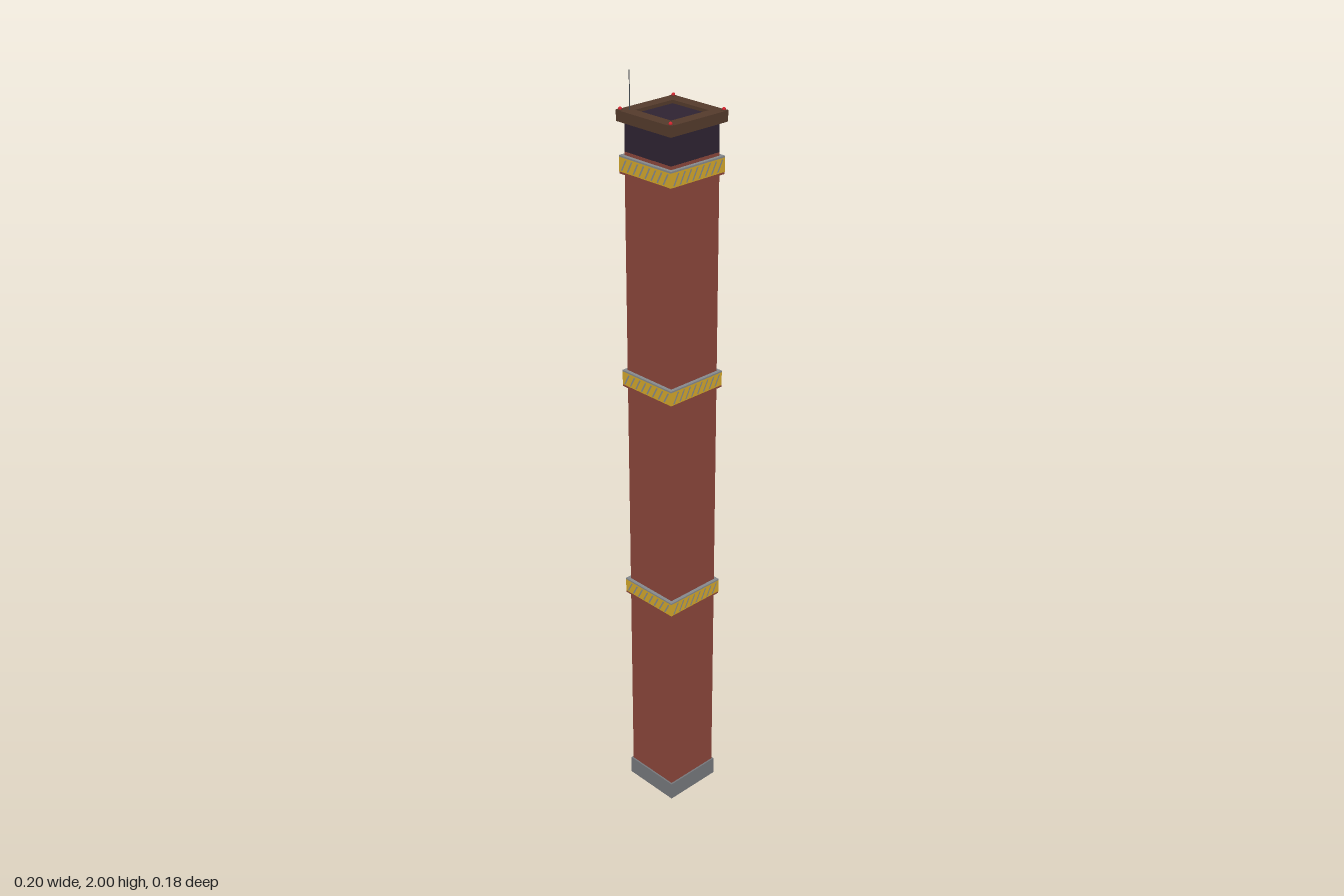
import * as THREE from 'three';

const mat = (name, color, double = false) => {
  const m = new THREE.MeshStandardMaterial({ color });
  m.name = name;
  if (double) m.side = THREE.DoubleSide;
  return m;
};

export function createModel() {
  const brick = mat('brick red', 0x8a453a);
  const soot = mat('soot', 0x2e2331);
  const brown = mat('cap brown', 0x533a2b);
  const concrete = mat('concrete', 0x75777b, true);
  const yellow = mat('warning yellow', 0xd2a62a);
  const steel = mat('band steel', 0x85898c, true);
  const iron = mat('ladder iron', 0x474c52);
  const red = mat('beacon red', 0xd02630);

  const model = new THREE.Group();
  model.name = 'chimney';
  const stack = new THREE.Group();
  stack.name = 'stack';
  stack.position.x = -0.009; // the ladder shifts the stack off centre
  model.add(stack);

  const add = (name, geo, material, x = 0, y = 0, z = 0, parent = stack) => {
    const m = new THREE.Mesh(geo, material);
    m.name = name;
    m.position.set(x, y, z);
    parent.add(m);
    return m;
  };
  // box spanning y0..y1
  const box = (name, w, y0, y1, d, material, x = 0, z = 0, parent = stack) =>
    add(name, new THREE.BoxGeometry(w, y1 - y0, d), material, x, (y0 + y1) / 2, z, parent);
  // square ring lying flat, rising from y0 to y1
  const ring = (name, outer, inner, y0, y1, material, parent = stack) => {
    const square = (T, h) => {
      const s = new T();
      s.moveTo(-h, -h); s.lineTo(h, -h); s.lineTo(h, h); s.lineTo(-h, h); s.closePath();
      return s;
    };
    const shape = square(THREE.Shape, outer / 2);
    shape.holes.push(square(THREE.Path, inner / 2));
    const geo = new THREE.ExtrudeGeometry(shape, { depth: y1 - y0, bevelEnabled: false });
    geo.rotateX(-Math.PI / 2);
    return add(name, geo, material, 0, y0, 0, parent);
  };

  // Hollow footing, open underneath
  ring('footing', 0.164, 0.16, 0, 0.05, concrete);
  box('footingTop', 0.16, 0.046, 0.05, 0.16, concrete);

  // Shaft, dark throat and cap
  box('shaft', 0.155, 0.05, 1.81, 0.155, brick);
  box('throat', 0.154, 1.81, 1.887, 0.154, soot);
  ring('capRim', 0.181, 0.118, 1.882, 1.908, brown);
  box('flueOpening', 0.1178, 1.88, 1.9, 0.1178, soot);

  // Warning bands with slanted stripes
  const stripeShape = new THREE.Shape([
    new THREE.Vector2(-0.01, -0.014), new THREE.Vector2(-0.005, -0.014),
    new THREE.Vector2(0.01, 0.014), new THREE.Vector2(0.005, 0.014),
  ]);
  const stripeGeo = new THREE.ShapeGeometry(stripeShape);
  for (const y of [0.605, 1.212, 1.758]) {
    const band = new THREE.Group();
    band.name = 'warningBand';
    stack.add(band);
    ring('bandLedge', 0.172, 0.154, y, y + 0.005, brick, band);
    ring('bandFace', 0.173, 0.154, y + 0.005, y + 0.04, yellow, band);
    ring('bandTop', 0.173, 0.154, y + 0.04, y + 0.044, steel, band);
    for (let side = 0; side < 4; side++) {
      const face = new THREE.Group();
      face.name = 'stripes';
      face.rotation.y = side * Math.PI / 2;
      band.add(face);
      for (let i = 0; i < 8; i++)
        add('stripe', stripeGeo, steel, (i - 3.5) * 0.02, y + 0.0225, 0.0872, face);
    }
  }

  // Dark slot panel on the back
  box('backSlot', 0.032, 0.8, 1.15, 0.004, soot, 0, -0.0775);

  // Corner beacons and mast
  for (const x of [-1, 1]) for (const z of [-1, 1]) {
    box('beaconBase', 0.012, 1.89, 1.909, 0.012, brown, x * 0.084, z * 0.084);
    add('beacon', new THREE.SphereGeometry(0.0045, 10, 8), red, x * 0.084, 1.911, z * 0.083);
  }
  add('mast', new THREE.CylinderGeometry(0.001, 0.0013, 0.095, 6), iron, -0.069, 1.9525, -0.067);

  // Ladder on the +x side
  const ladder = new THREE.Group();
  ladder.name = 'ladder';
  model.add(ladder);
  for (const z of [-0.012, 0.012])
    box('ladderRail', 0.002, 0.05, 1.85, 0.002, iron, 0.082, z, ladder);
  for (let y = 0.08; y < 1.84; y += 0.0306)
    box('ladderRung', 0.0016, y, y + 0.0016, 0.024, iron, 0.082, 0, ladder);
  // Cage hoops anchored to the wall
  for (let i = 0; i < 28; i++) {
    const y = 0.155 + i * 0.061;
    for (const z of [-0.012, 0.012])
      box('hoopArm', 0.03, y, y + 0.0016, 0.0016, iron, 0.083, z, ladder);
    box('hoopFront', 0.0016, y, y + 0.0016, 0.0256, iron, 0.0975, 0, ladder);
  }
  return model;
}
